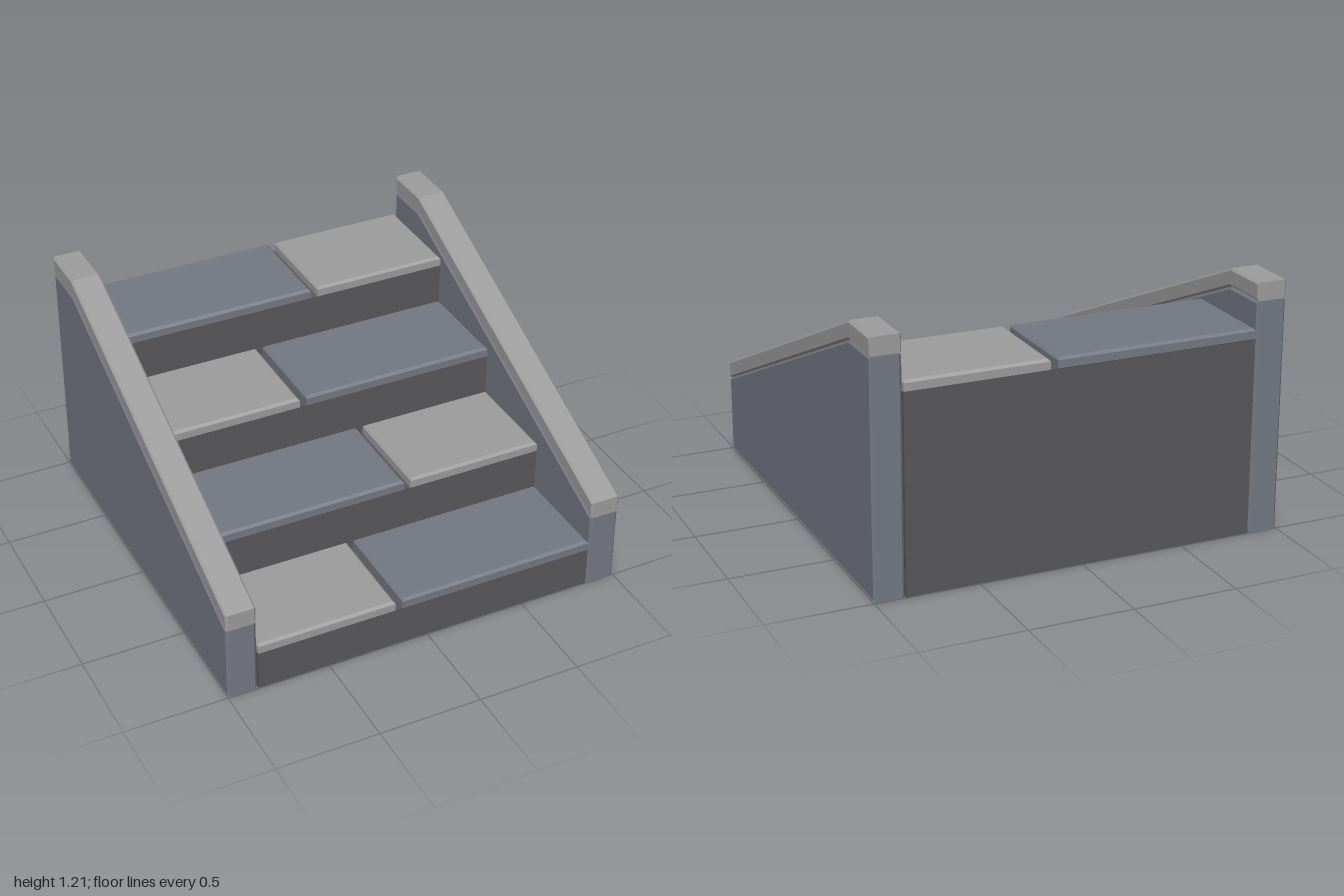
import * as THREE from 'three';

const material = (name, color) => {
  const m = new THREE.MeshStandardMaterial({ color });
  m.name = name;
  return m;
};

// Extrudes a closed outline to a total thickness, chamfered inside its outline
function chamfered(points, thickness, bevel) {
  const shape = new THREE.Shape(points.map(([x, y]) => new THREE.Vector2(x, y)));
  const geometry = new THREE.ExtrudeGeometry(shape, {
    depth: thickness - 2 * bevel,
    bevelEnabled: bevel > 0,
    bevelThickness: bevel,
    bevelSize: bevel,
    bevelOffset: -bevel,
    bevelSegments: 1,
  });
  return geometry.translate(0, 0, bevel - thickness / 2);
}

// Side profile given as (z, y), extruded across x
const sideProfile = (points, width, bevel) =>
  chamfered(points, width, bevel).rotateY(-Math.PI / 2);

export function createModel() {
  const group = new THREE.Group();
  group.name = 'stairs';
  const lightStone = material('lightStone', 0x9c9c9c);
  const blueStone = material('blueStone', 0x747883);
  const darkStone = material('darkStone', 0x58585b);

  const add = (name, geometry, mat, x = 0, y = 0, z = 0) => {
    const mesh = new THREE.Mesh(geometry, mat);
    mesh.name = name;
    mesh.position.set(x, y, z);
    group.add(mesh);
  };

  const steps = 4, rise = 0.25, run = 0.5, tread = 0.05, inner = 0.85;

  // Stepped core
  const core = [[-0.997, 0], [0.997, 0]];
  for (let i = 0; i < steps; i++) {
    const y = rise * (i + 1) - tread;
    const back = i === steps - 1 ? -0.997 : 0.997 - run * (i + 1);
    core.push([0.997 - run * i, y], [back, y]);
  }
  // The first riser starts on the lower front corner
  add('stepCore', sideProfile(core, inner * 2, 0), darkStone);

  // Two tread slabs per step, with the joint alternating sides
  const slab = (name, x0, x1, step, mat) => {
    const w = (x1 - x0) / 2, d = run / 2, h = tread + 0.012;
    const geometry = chamfered([[-w, -d], [w, -d], [w, d], [-w, d]], h, 0.012);
    geometry.rotateX(-Math.PI / 2);
    add(name, geometry, mat, (x0 + x1) / 2, rise * (step + 1) - h / 2, 1 - run * (step + 0.5));
  };
  for (let i = 0; i < steps; i++) {
    const odd = i % 2 === 1;
    const joint = odd ? 0.15 : -0.15;
    slab('treadSlabRight', -inner, joint - 0.017, i, odd ? blueStone : lightStone);
    slab('treadSlabLeft', joint + 0.017, inner, i, odd ? lightStone : blueStone);
  }

  // Side walls and their sloping coping
  const wall = [[-1, 0], [1, 0], [1, 0.38], [-0.75, 1.125], [-1, 1.125]];
  const coping = [[-1, 1.125], [-0.75, 1.125], [1, 0.38], [1, 0.465], [-0.75, 1.212], [-1, 1.212]];
  for (const [side, s] of [['left', 1], ['right', -1]]) {
    add(side + 'Wall', sideProfile(wall, 0.146, 0.013), blueStone, s * 0.927);
    add(side + 'Coping', sideProfile(coping, 0.146, 0.01), lightStone, s * 0.927);
  }
  return group;
}
